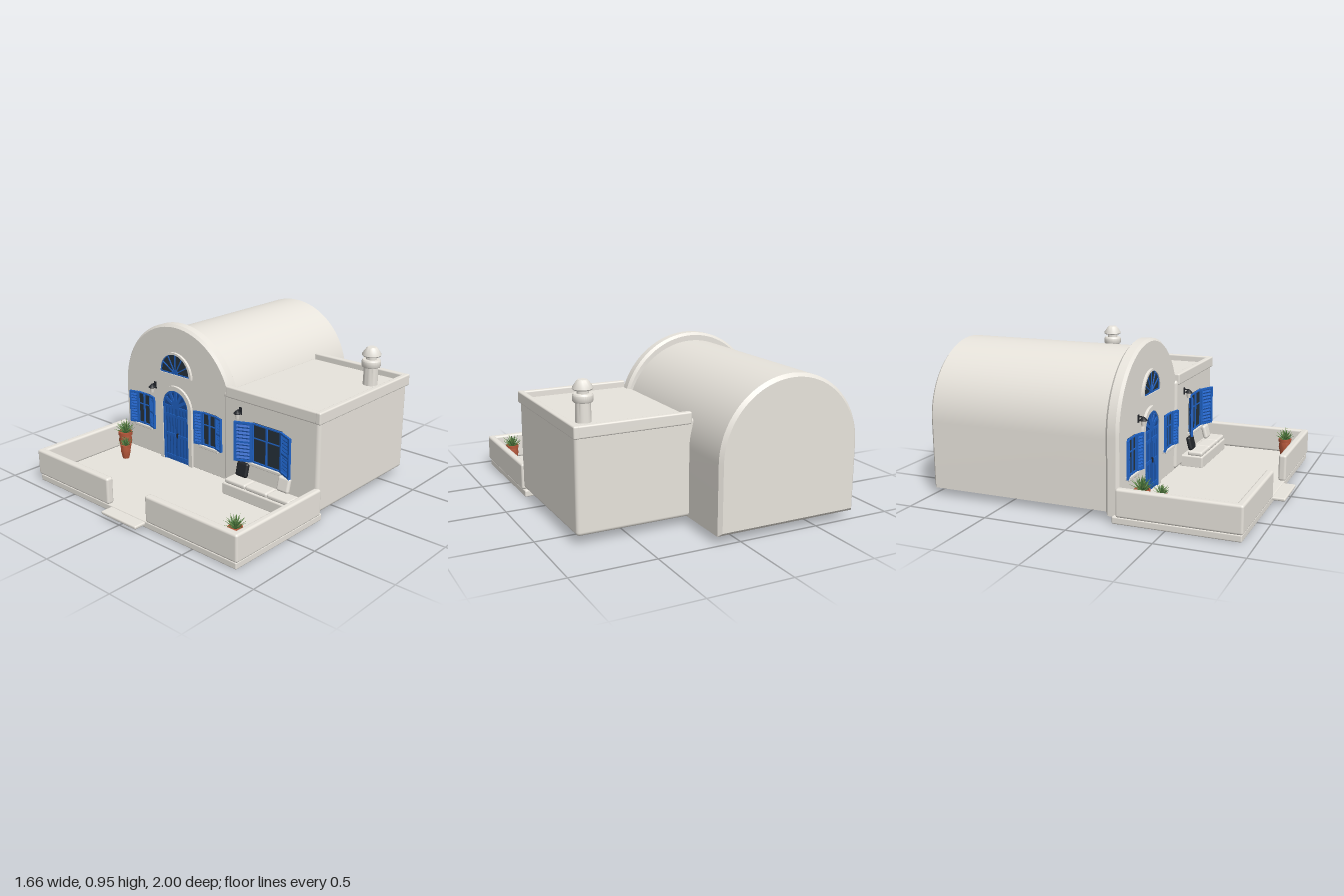
import * as THREE from 'three';
import { toCreasedNormals } from 'three/addons/utils/BufferGeometryUtils.js';
import { RoundedBoxGeometry } from 'three/addons/geometries/RoundedBoxGeometry.js';

const mat = (name, color) => new THREE.MeshStandardMaterial({ name, color });
const plaster = mat('plaster', 0xeeeae2);
const blue = mat('blue paint', 0x1f62c4);
const deepBlue = mat('deep blue paint', 0x184a98);
const glass = mat('dark glass', 0x26323c);
const iron = mat('black iron', 0x22252a);
const clay = mat('terracotta', 0xb5573a);
const green = mat('leaf green', 0x4a7a3c);
const paleGreen = mat('pale leaf green', 0x6d9150);
const linen = mat('linen', 0xf4f0e8);

function add(parent, name, geo, material, x = 0, y = 0, z = 0) {
  const m = new THREE.Mesh(geo, material);
  m.name = name;
  m.position.set(x, y, z);
  parent.add(m);
  return m;
}
function group(parent, name, x = 0, y = 0, z = 0) {
  const g = new THREE.Group();
  g.name = name;
  g.position.set(x, y, z);
  parent.add(g);
  return g;
}
// box given by its limits; r > 0 rounds the edges
function block(parent, name, material, x0, x1, y0, y1, z0, z1, r = 0) {
  const s = [x1 - x0, y1 - y0, z1 - z0];
  const geo = r ? new RoundedBoxGeometry(...s, 3, r) : new THREE.BoxGeometry(...s);
  return add(parent, name, geo, material, (x0 + x1) / 2, (y0 + y1) / 2, (z0 + z1) / 2);
}
// round-headed outline, x centred on 0
function archPath(half, base, spring, Type = THREE.Shape) {
  const p = new Type();
  p.moveTo(-half, base);
  p.lineTo(half, base);
  if (spring > base) p.lineTo(half, spring);
  p.absarc(0, spring, half, 0, Math.PI, false);
  p.closePath();
  return p;
}
function extrude(shape, z0, z1, bevel = 0) {
  const geo = new THREE.ExtrudeGeometry(shape, {
    depth: z1 - z0 - 2 * bevel, curveSegments: 32, bevelEnabled: bevel > 0,
    bevelSize: bevel, bevelThickness: bevel, bevelOffset: -bevel, bevelSegments: 1,
  });
  geo.translate(0, 0, z0 + bevel);
  return toCreasedNormals(geo, 0.5);
}
const lathe = (pts, n = 24) =>
  toCreasedNormals(new THREE.LatheGeometry(pts.map(p => new THREE.Vector2(...p)), n), 0.6);

// louvred shutter hinged at its inner edge, side = -1 or 1 is the way it opens
function shutter(parent, side, x, y0, y1, width, angle, z) {
  const g = group(parent, 'shutter', x, 0, z);
  g.rotation.y = -side * angle;
  const bar = (name, m, a, b, c, d, e, f) =>
    block(g, name, m, Math.min(a * side, b * side), Math.max(a * side, b * side), c, d, e, f);
  const t = width * 0.14;
  bar('shutterBack', deepBlue, 0.002, width - 0.002, y0, y1, 0.002, 0.005);
  bar('shutterStile', blue, 0, t, y0, y1, 0, 0.014);
  bar('shutterStile', blue, width - t, width, y0, y1, 0, 0.014);
  for (const y of [y0, (y0 + y1) / 2 - 0.006, y1 - 0.012])
    bar('shutterRail', blue, t, width - t, y, y + 0.012, 0, 0.013);
  const n = 10;
  for (let i = 0; i < n; i++) {
    const y = y0 + 0.014 + (i + 0.5) * (y1 - y0 - 0.028) / n;
    add(g, 'louvre', new THREE.BoxGeometry(width - 2 * t, 0.014, 0.003), blue,
      side * width / 2, y, 0.008).rotation.x = -0.6;
  }
}
function windowUnit(parent, name, x, half, y0, y1, z, shutterWidth, angle) {
  const g = group(parent, name, x, 0, z);
  const t = 0.008, yt = y0 + (y1 - y0) * 0.63;
  block(g, 'pane', glass, -half, half, y0, y1, -0.004, 0.004);
  for (const s of [-1, 1]) {
    block(g, 'jamb', blue, s * (half - t / 2) - t / 2, s * (half - t / 2) + t / 2, y0, y1, 0, 0.014);
    shutter(g, s, s * half, y0 - 0.001, y1, shutterWidth / Math.cos(angle), angle, 0.004);
  }
  for (const y of [y0, y1 - t]) block(g, 'frameRail', blue, -half, half, y, y + t, 0, 0.014);
  block(g, 'mullion', blue, -0.005, 0.005, y0, y1, 0, 0.013);
  block(g, 'transom', blue, -half, half, yt - 0.003, yt + 0.003, 0, 0.01);
  block(g, 'sill', plaster, -half - 0.022, half + 0.022, y0 - 0.02, y0, -0.01, 0.024, 0.004);
}
function lamp(parent, x, y, z) {
  const g = group(parent, 'wallLamp', x, y, z);
  block(g, 'lampPlate', iron, -0.009, 0.009, -0.005, 0.04, 0, 0.005);
  block(g, 'lampArm', iron, -0.003, 0.003, 0.026, 0.032, 0, 0.032);
  add(g, 'lampHood', lathe([[0, 0.032], [0, 0.032], [0.008, 0.028], [0.024, 0.012], [0.022, 0.008], [0, 0.008]].reverse()),
    iron, 0, 0, 0.032);
  add(g, 'lampGlass', new THREE.CylinderGeometry(0.016, 0.011, 0.032, 12), linen, 0, -0.008, 0.032);
}
function pottedPlant(parent, x, z, h, r, spread, leafLen) {
  const g = group(parent, 'pottedPlant', x, 0.04, z);
  add(g, 'pot', lathe([[0, 0], [r * 0.6, 0], [r * 0.95, h * 0.55], [r * 0.85, h * 0.82], [r, h * 0.84],
    [r, h], [r * 0.82, h], [r * 0.8, h * 0.9], [0, h * 0.9]]), clay);
  const n = 42;
  for (let i = 0; i < n; i++) {
    const k = (i + 0.5) / n, tilt = 0.1 + 1.15 * k;
    const len = Math.min(leafLen * (1 - 0.1 * (i % 3)), spread / Math.sin(tilt));
    const geo = new THREE.ConeGeometry(leafLen * 0.1, len, 4);
    geo.translate(0, len / 2, 0);
    geo.scale(1, 1, 0.5);
    const leaf = add(g, 'leaf', geo, i % 3 ? green : paleGreen, 0, h * 0.92, 0);
    leaf.rotation.set(tilt, i * 2.39996, 0, 'YXZ');
  }
}

export function createModel() {
  const root = new THREE.Group();
  root.name = 'vaultedHouse';
  const cx = -0.315;

  // vaulted hall and arched facade
  add(root, 'vault', extrude(archPath(0.45, 0.045, 0.45), -1, 0.18, 0.02), plaster, cx);
  add(root, 'facade', extrude(archPath(0.475, 0.03, 0.475), 0.14, 0.22, 0.016), plaster, cx);

  // flat-roofed side wing with parapet
  block(root, 'sideWing', plaster, 0.1, 0.813, 0.05, 0.625, -0.662, 0.235, 0.022);
  block(root, 'parapetFront', plaster, 0.125, 0.822, 0.595, 0.665, 0.207, 0.244, 0.009);
  block(root, 'parapetBack', plaster, 0.125, 0.822, 0.595, 0.665, -0.675, -0.638, 0.009);
  block(root, 'parapetSide', plaster, 0.787, 0.823, 0.594, 0.666, -0.676, 0.245, 0.009);

  // chimney
  add(root, 'chimney', lathe([[0.046, 0.6], [0.043, 0.735], [0.053, 0.737], [0.058, 0.745], [0.058, 0.775],
    [0.052, 0.784], [0.034, 0.785], [0.034, 0.805], [0.054, 0.805], [0.058, 0.811], [0.057, 0.82],
    [0.034, 0.853], [0.026, 0.86], [0, 0.86]], 32), plaster, 0.68, 0, -0.455);

  // terrace, low walls and step
  block(root, 'terrace', plaster, -0.82, 0.817, 0, 0.042, 0.19, 0.925, 0.008);
  for (const s of [-1, 1])
    block(root, 'terraceSideWall', plaster, s < 0 ? -0.83 : 0.783, s < 0 ? -0.783 : 0.827, 0.042, 0.206, 0.215, 0.932, 0.014);
  block(root, 'terraceFrontWall', plaster, -0.83, -0.17, 0.042, 0.206, 0.885, 0.932, 0.014);
  block(root, 'terraceFrontWall', plaster, 0.143, 0.827, 0.042, 0.206, 0.885, 0.932, 0.014);
  block(root, 'step', plaster, -0.155, 0.135, 0.016, 0.036, 0.915, 1, 0.008);

  // arched double door
  const door = group(root, 'door', cx, 0, 0.22);
  const trim = archPath(0.142, 0.04, 0.414);
  trim.holes.push(archPath(0.112, 0.04, 0.414, THREE.Path));
  add(door, 'doorSurround', extrude(trim, -0.005, 0.016), plaster);
  add(door, 'doorPanel', extrude(archPath(0.112, 0.04, 0.414), 0, 0.004), blue);
  const rim = archPath(0.112, 0.04, 0.414);
  rim.holes.push(archPath(0.1, 0.04, 0.414, THREE.Path));
  add(door, 'doorFrame', extrude(rim, 0, 0.011), blue);
  block(door, 'doorTransom', blue, -0.11, 0.11, 0.405, 0.419, 0, 0.012);
  for (const s of [-1, 1]) {
    for (let i = 0; i < 4; i++)
      block(door, 'groove', deepBlue, s * (0.006 + i * 0.027) - 0.0025, s * (0.006 + i * 0.027) + 0.0025, 0.045, 0.405, 0.002, 0.005);
    for (const y of [0.06, 0.21, 0.34])
      block(door, 'doorRail', blue, s * 0.052 - 0.044, s * 0.052 + 0.044, y, y + 0.02, 0.003, 0.009);
  }
  block(door, 'doorHandle', iron, 0.01, 0.016, 0.21, 0.24, 0.005, 0.016);
  add(door, 'fanlight', extrude(archPath(0.1, 0.418, 0.418), 0.002, 0.006), deepBlue);
  const spokes = (parent, y, len, z, w) => {
    for (const a of [-60, -30, 0, 30, 60]) {
      const geo = new THREE.BoxGeometry(w, len, 0.006);
      geo.translate(0, len / 2, 0);
      add(parent, 'spoke', geo, blue, 0, y, z).rotation.z = a * Math.PI / 180;
    }
  };
  spokes(door, 0.416, 0.102, 0.008, 0.02);

  // half-round window over the door
  const lunette = group(root, 'lunetteWindow', cx, 0, 0.22);
  const hood = archPath(0.146, 0.627, 0.63);
  hood.holes.push(archPath(0.126, 0.634, 0.637, THREE.Path));
  add(lunette, 'lunetteSurround', extrude(hood, -0.005, 0.016), plaster);
  add(lunette, 'lunetteGlass', extrude(archPath(0.126, 0.634, 0.637), 0, 0.004), glass);
  const ring = archPath(0.126, 0.634, 0.637);
  ring.holes.push(archPath(0.119, 0.641, 0.641, THREE.Path));
  add(lunette, 'lunetteFrame', extrude(ring, 0, 0.01), blue);
  const hub = new THREE.CylinderGeometry(0.025, 0.025, 0.007, 16, 1, false, Math.PI / 2, Math.PI);
  add(lunette, 'lunetteHub', hub.rotateX(Math.PI / 2), blue, 0, 0.638, 0.005);
  spokes(lunette, 0.638, 0.122, 0.006, 0.007);

  // shuttered windows
  windowUnit(root, 'smallWindow', -0.6075, 0.058, 0.228, 0.444, 0.22, 0.06, 0.28);
  windowUnit(root, 'smallWindow', -0.0225, 0.058, 0.228, 0.444, 0.22, 0.06, 0.28);
  windowUnit(root, 'largeWindow', 0.448, 0.108, 0.238, 0.487, 0.237, 0.105, 0.42);

  // wall lamps
  lamp(root, -0.503, 0.505, 0.22);
  lamp(root, 0.241, 0.517, 0.235);

  // built-in bench with cushions
  block(root, 'bench', plaster, 0.215, 0.722, 0.035, 0.115, 0.225, 0.375, 0.01);
  for (let i = 0; i < 3; i++)
    block(root, 'seatCushion', linen, 0.226 + i * 0.163, 0.387 + i * 0.163, 0.112, 0.142, 0.27, 0.368, 0.012);
  const pillows = [[0.287, iron], [0.603, linen]];
  for (const [x, m] of pillows)
    add(root, 'pillow', new RoundedBoxGeometry(0.086, 0.09, 0.03, 3, 0.014), m, x, 0.184, 0.272).rotation.x = -0.25;

  // potted plants
  pottedPlant(root, -0.70, 0.325, 0.14, 0.046, 0.076, 0.095);
  pottedPlant(root, -0.61, 0.405, 0.095, 0.034, 0.052, 0.068);
  pottedPlant(root, 0.70, 0.8, 0.12, 0.042, 0.066, 0.085);
  return root;
}
